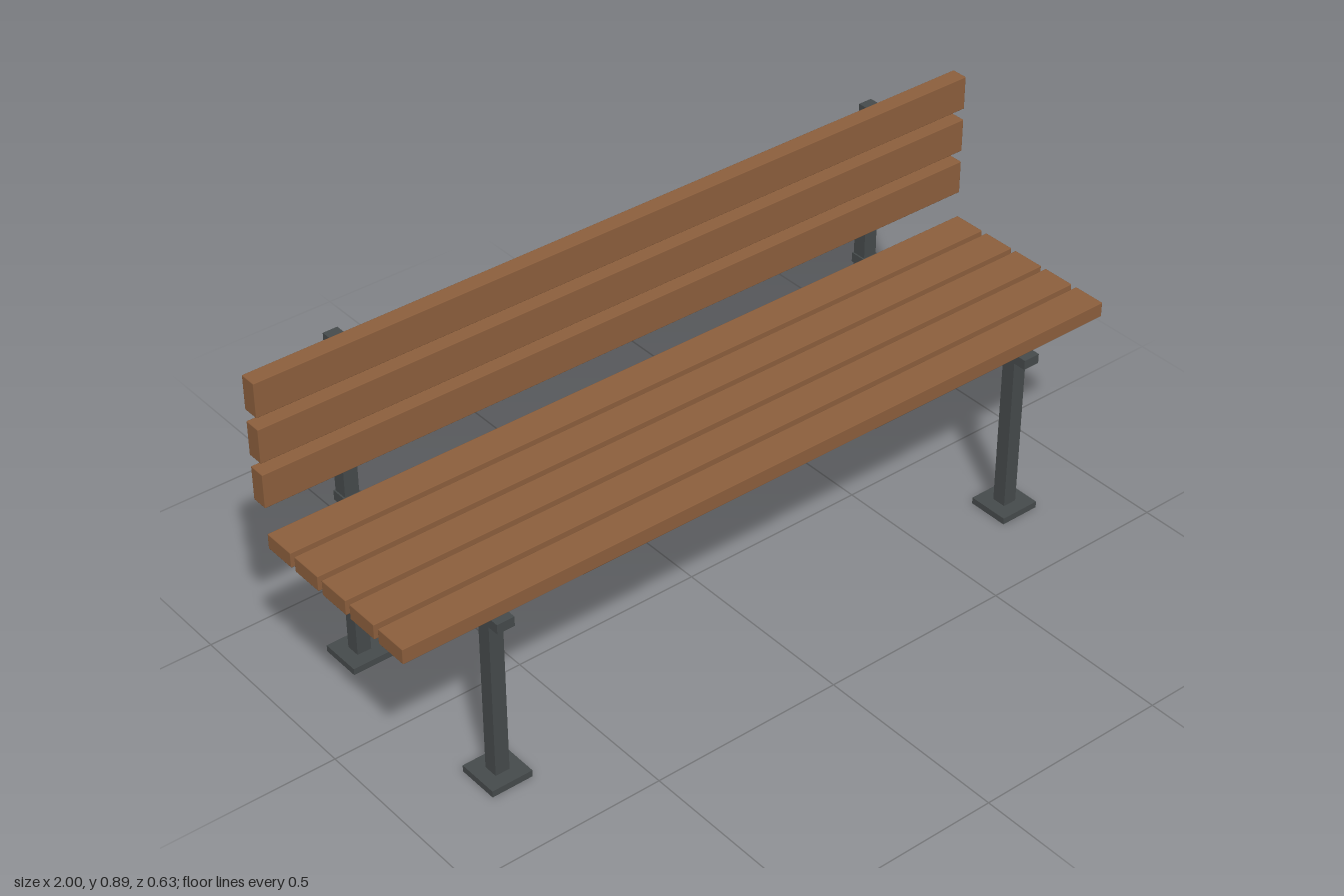
import * as THREE from 'three';
import { RoundedBoxGeometry } from 'three/addons/geometries/RoundedBoxGeometry.js';

export function createModel() {
  const wood = new THREE.MeshStandardMaterial({ name: 'brown wood', color: 0x8b5e3c });
  const metal = new THREE.MeshStandardMaterial({ name: 'dark grey metal', color: 0x454a4b });

  const bench = new THREE.Group();
  bench.name = 'bench';

  const add = (parent, name, geometry, material, x, y, z) => {
    const mesh = new THREE.Mesh(geometry, material);
    mesh.name = name;
    mesh.position.set(x, y, z);
    parent.add(mesh);
  };

  // Five seat slats, slightly eased along their edges
  const seat = new THREE.Group();
  seat.name = 'seat';
  const seatSlat = new RoundedBoxGeometry(2, 0.039, 0.087, 1, 0.002);
  for (let i = -2; i <= 2; i++) {
    add(seat, 'seatSlat', seatSlat, wood, 0, 0.48, 0.051 + i * 0.102);
  }

  // Three upright backrest slats
  const backrest = new THREE.Group();
  backrest.name = 'backrest';
  const backSlat = new RoundedBoxGeometry(2, 0.087, 0.043, 1, 0.002);
  for (let i = 0; i < 3; i++) {
    add(backrest, 'backSlat', backSlat, wood, 0, 0.611 + i * 0.1165, -0.216);
  }

  // Mirrored end frames: feet, front leg, back post and seat rail
  const footPlate = new THREE.BoxGeometry(0.107, 0.017, 0.108);
  const frontLeg = new THREE.BoxGeometry(0.037, 0.42, 0.037);
  const backPost = new THREE.BoxGeometry(0.037, 0.857, 0.037);
  const seatRail = new THREE.BoxGeometry(0.045, 0.025, 0.598);
  for (const side of [-1, 1]) {
    const frame = new THREE.Group();
    frame.name = side > 0 ? 'leftFrame' : 'rightFrame';
    frame.position.x = side * 0.755;
    add(frame, 'frontFoot', footPlate, metal, 0, 0.0085, 0.262);
    add(frame, 'backFoot', footPlate, metal, 0, 0.0085, -0.26);
    add(frame, 'frontLeg', frontLeg, metal, 0, 0.226, 0.262);
    add(frame, 'backPost', backPost, metal, 0, 0.4445, -0.26);
    add(frame, 'seatRail', seatRail, metal, 0, 0.4475, 0.018);
    bench.add(frame);
  }

  // Stretcher between the back posts
  add(bench, 'stretcher', new THREE.BoxGeometry(1.475, 0.033, 0.031), metal, 0, 0.291, -0.262);

  bench.add(seat, backrest);
  return bench;
}
